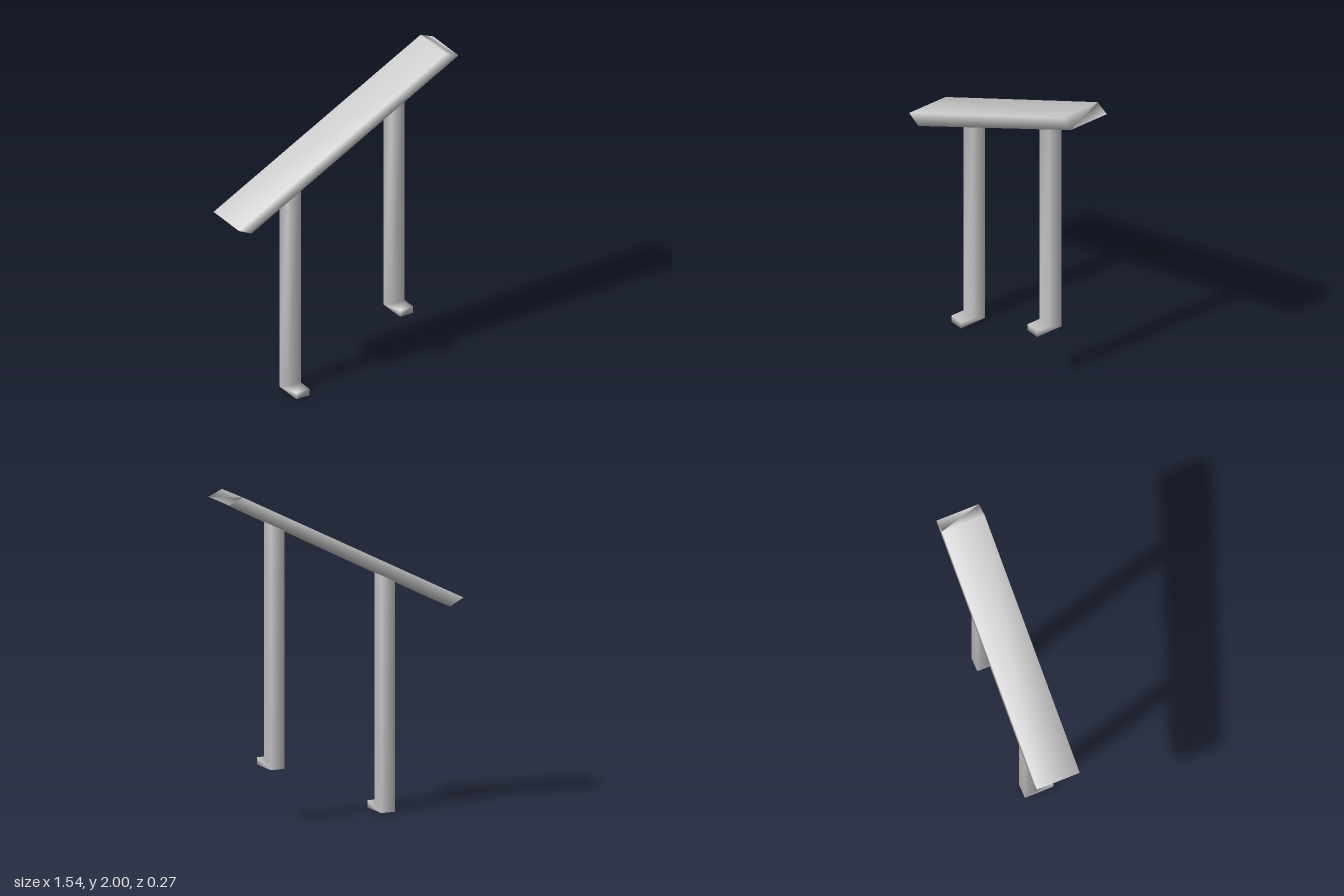
import * as THREE from 'three';
import { mergeVertices } from 'three/addons/utils/BufferGeometryUtils.js';

const material = new THREE.MeshStandardMaterial({ color: 0xcccccc });
const HALF_POST = 0.045;
const HALF_RAIL = 0.135;

// Height of the sloping underside of the handrail
const undersideY = (x) => 1.215 + (x + 0.68) * 0.5156;

// Extrude a closed outline, centred on its depth
function extrude(points, depth) {
  const shape = new THREE.Shape(points.map(([x, y]) => new THREE.Vector2(x, y)));
  return new THREE.ExtrudeGeometry(shape, { depth, bevelEnabled: false }).translate(0, 0, -depth / 2);
}

// Share corners so that shading blends softly around the edges
function soften(geometry) {
  geometry.deleteAttribute('normal');
  geometry.deleteAttribute('uv');
  const merged = mergeVertices(geometry, 1e-4);
  merged.computeVertexNormals();
  return merged;
}

// Upright with a forward toe; its top is cut to the slope of the rail
function makePost(name, x, bottom) {
  const w = HALF_POST;
  const top = 10; // marker height, replaced by the slope below
  const geometry = extrude([
    [-w, bottom], [HALF_RAIL, bottom], [HALF_RAIL, bottom + 0.043],
    [w, bottom + 0.043], [w, top], [-w, top],
  ], 2 * w);
  geometry.rotateY(-Math.PI / 2).translate(x, 0, 0);
  const p = geometry.attributes.position;
  for (let i = 0; i < p.count; i++) {
    if (p.getY(i) > 5) p.setY(i, undersideY(p.getX(i)));
  }
  const mesh = new THREE.Mesh(soften(geometry), material);
  mesh.name = name;
  return mesh;
}

export function createModel() {
  const group = new THREE.Group();
  group.name = 'stairHandrail';

  // Sloping rail with slanted ends
  const rail = new THREE.Mesh(soften(extrude([
    [-0.768, 1.26], [-0.68, 1.215], [0.768, undersideY(0.768)], [0.68, 2.0],
  ], 2 * HALF_RAIL)), material);
  rail.name = 'handrail';

  group.add(rail, makePost('lowerPost', -0.32, 0), makePost('upperPost', 0.405, 0.328));
  return group;
}
